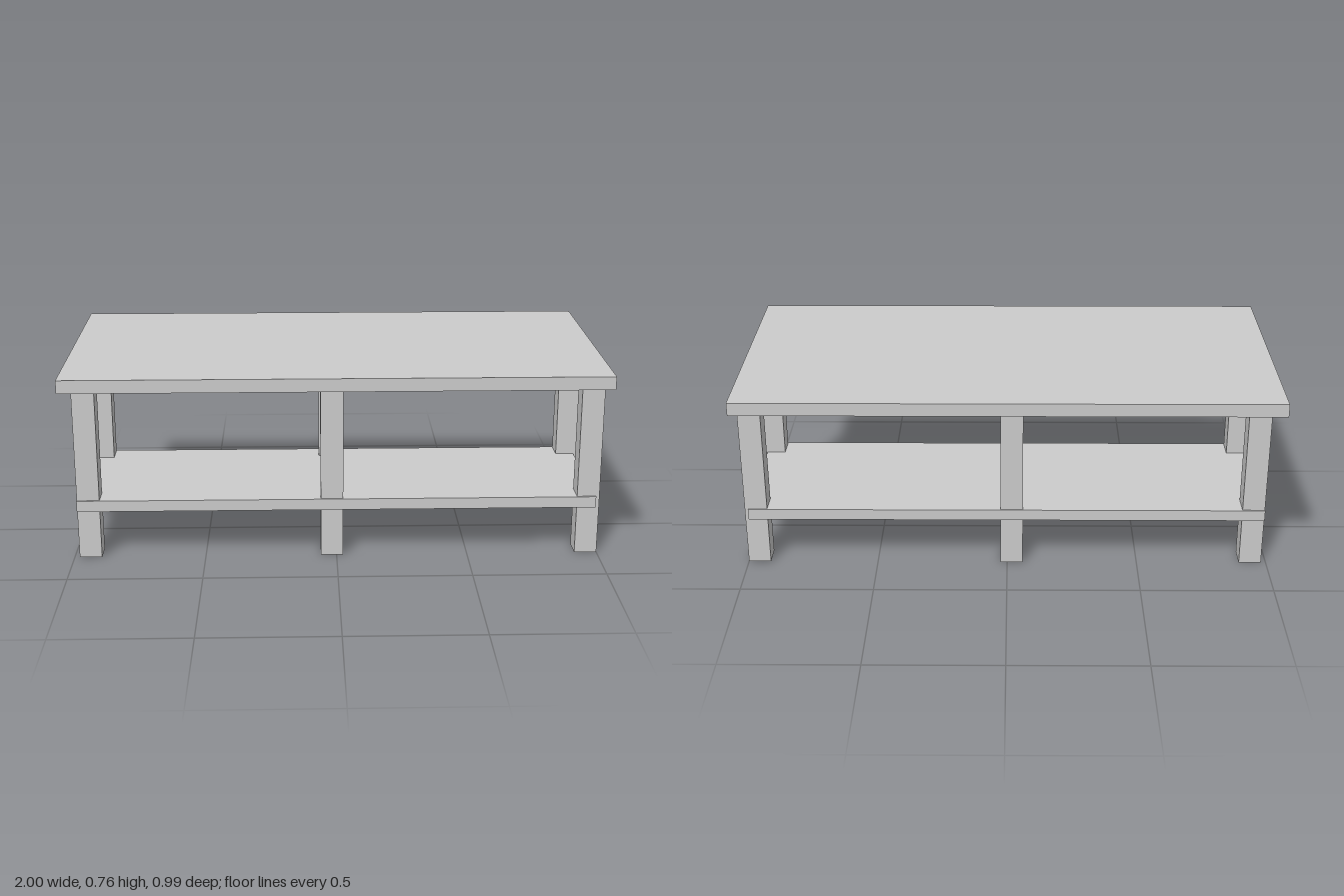
import * as THREE from 'three';

export function createModel() {
  const table = new THREE.Group();
  table.name = 'table';
  const material = new THREE.MeshStandardMaterial({ color: 0xcccccc, flatShading: true });

  // Adds a box spanning the given [min, max] ranges
  function addBox(name, [x0, x1], [y0, y1], [z0, z1]) {
    const mesh = new THREE.Mesh(new THREE.BoxGeometry(x1 - x0, y1 - y0, z1 - z0), material);
    mesh.position.set((x0 + x1) / 2, (y0 + y1) / 2, (z0 + z1) / 2);
    mesh.name = name;
    table.add(mesh);
  }

  // Table top and lower shelf
  addBox('tableTop', [-1, 0.993], [0.713, 0.762], [-0.497, 0.497]);
  addBox('lowerShelf', [-0.982, 0.987], [0.187, 0.23], [-0.296, 0.296]);

  // Three pairs of square legs
  const legWidth = 0.085;
  const columns = [['right', -0.981], ['middle', -0.06], ['left', 0.915]];
  const rows = [['Front', 0.205], ['Back', -0.291]];
  for (const [side, x] of columns) {
    for (const [end, z] of rows) {
      addBox(`${side}${end}Leg`, [x, x + legWidth], [0, 0.713], [z, z + legWidth]);
    }
  }

  return table;
}
